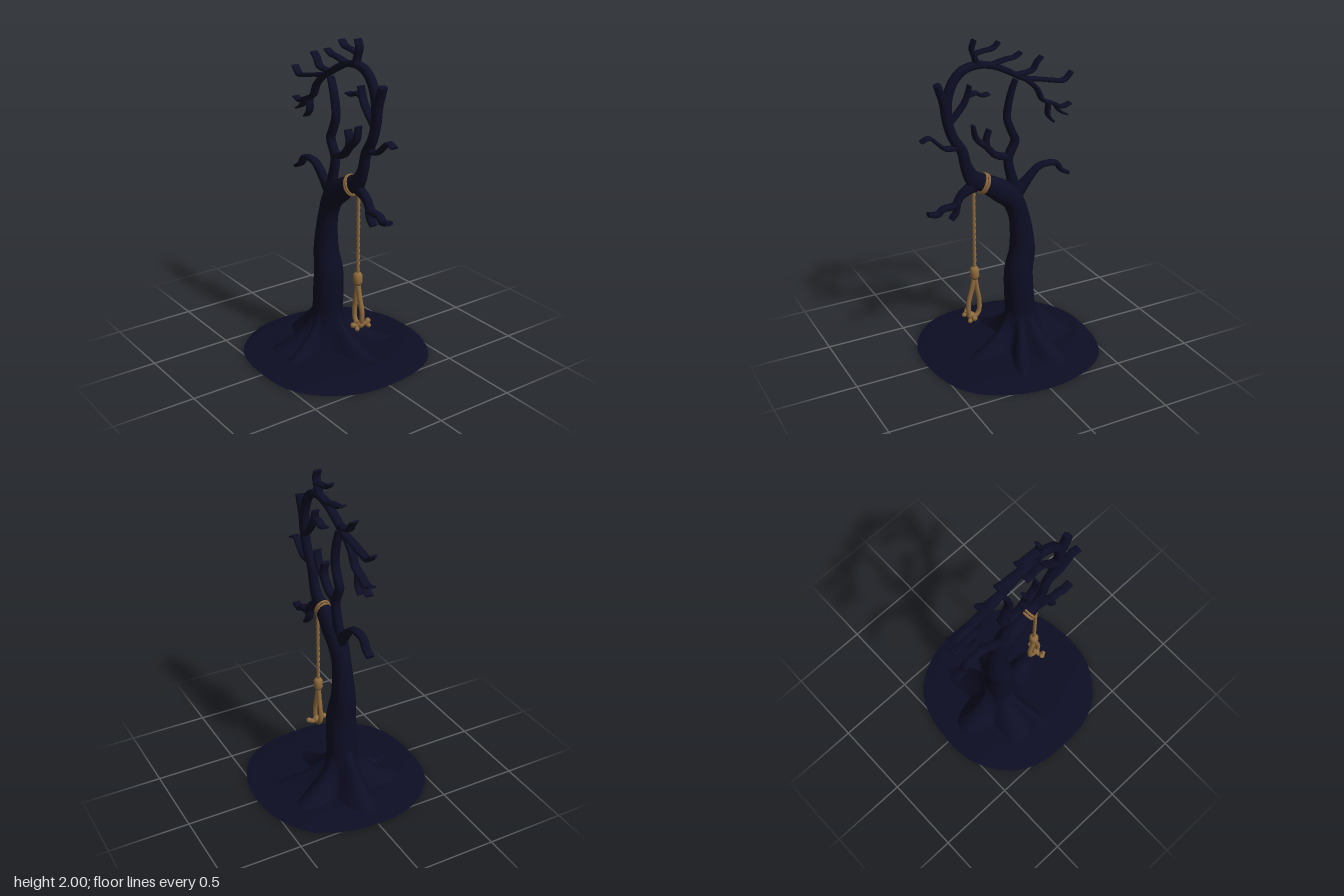
import * as THREE from 'three';
import { toCreasedNormals } from 'three/addons/utils/BufferGeometryUtils.js';

const bark = new THREE.MeshStandardMaterial({ name: 'dark bark', color: 0x0d0d24 });
const rope = new THREE.MeshStandardMaterial({ name: 'tan rope', color: 0x8f6b3d });

// Joins rings of points into a closed, capped skin
function loft(rings) {
  const n = rings[0].length, pos = [], idx = [];
  rings.forEach(r => r.forEach(p => pos.push(...p)));
  for (let i = 0; i < rings.length - 1; i++) {
    for (let j = 0; j < n; j++) {
      const a = i * n + j, b = i * n + (j + 1) % n;
      idx.push(a, b, a + n, b, b + n, a + n);
    }
  }
  const last = (rings.length - 1) * n;
  for (let j = 1; j < n - 1; j++) idx.push(0, j + 1, j, last, last + j, last + j + 1);
  const g = new THREE.BufferGeometry();
  g.setAttribute('position', new THREE.Float32BufferAttribute(pos, 3));
  g.setIndex(idx);
  return toCreasedNormals(g, 1);
}

const sp = (v, e) => Math.sign(v) * Math.abs(v) ** e;

// Limb in the xy plane; each point is [x, y, half width, half depth]
function limb(points, power = 0.65, sides = 12, steps = 4) {
  const curve = new THREE.CatmullRomCurve3(points.map(p => new THREE.Vector3(p[0], p[1], p[2])), false, 'centripetal');
  const total = (points.length - 1) * steps, rings = [];
  for (let i = 0; i <= total; i++) {
    const t = i / total, c = curve.getPoint(t), d = curve.getTangent(t);
    const len = Math.hypot(d.x, d.y);
    const k = Math.min(Math.floor(i / steps), points.length - 2), f = i / steps - k;
    const depth = THREE.MathUtils.lerp(points[k][3] ?? 0.026, points[k + 1][3] ?? 0.026, f);
    const ring = [];
    for (let j = 0; j < sides; j++) {
      const a = (j / sides) * Math.PI * 2;
      const u = sp(Math.cos(a), power) * c.z / len;
      ring.push([c.x - d.y * u, c.y + d.x * u, sp(Math.sin(a), power) * depth]);
    }
    rings.push(ring);
  }
  return loft(rings);
}

// Flared base: [direction, reach, sharpness] for each root
const roots = [[Math.PI, 0.35, 9], [-0.2, 0.39, 22], [1.85, 0.36, 9], [1.3, 0.38, 50], [-1.9, 0.38, 14], [-1.13, 0.42, 45]];
function rootFlare() {
  const rings = [], n = 72, cx = -0.088;
  for (let i = 0; i <= 14; i++) {
    const t = i / 14, ring = [];
    for (let j = 0; j < n; j++) {
      const a = -(j / n) * Math.PI * 2;
      let reach = 0.17, left = 0;
      roots.forEach(([dir, len, sharp], k) => {
        const w = Math.exp(sharp * (Math.cos(a - dir) - 1));
        reach = Math.max(reach, 0.17 + (len - 0.17) * w);
        if (k === 0) left = w;
      });
      const r = 0.092 + (reach - 0.092) * (1 - t) ** (2.3 - 1.1 * left);
      ring.push([cx + Math.cos(a) * r, 0.018 + 0.272 * t, Math.sin(a) * r]);
    }
    rings.push(ring);
  }
  return loft(rings);
}

// Thin mound with a rounded-square outline
function mound() {
  const levels = [[0.97, 0], [1, 0.008], [0.93, 0.014], [0.6, 0.02], [0.05, 0.026]];
  return loft(levels.map(([s, y]) => Array.from({ length: 48 }, (_, j) => {
    const a = -(j / 48) * Math.PI * 2;
    const r = 0.548 * s * (1 + 0.006 * Math.sin(7 * a));
    return [r * sp(Math.cos(a), 0.86), y, r * sp(Math.sin(a), 0.86)];
  })));
}

// Twisted pair of strands along a straight drop
function strand(x, top, bottom, phase) {
  const pts = Array.from({ length: 121 }, (_, i) => {
    const t = i / 120, a = phase + t * Math.PI * 14;
    return new THREE.Vector3(x + Math.cos(a) * 0.005, top + (bottom - top) * t, Math.sin(a) * 0.005);
  });
  return new THREE.TubeGeometry(new THREE.CatmullRomCurve3(pts), 150, 0.0075, 6);
}

const tube = (pts, r, closed = false) => new THREE.TubeGeometry(
  new THREE.CatmullRomCurve3(pts.map(p => new THREE.Vector3(...p)), closed), 48, r, 8, closed);

export function createModel() {
  const model = new THREE.Group();
  model.name = 'bareTree';
  const add = (name, geo, mat, parent = model) => {
    const m = new THREE.Mesh(geo, mat);
    m.name = name;
    parent.add(m);
    return m;
  };

  add('ground', mound(), bark);
  add('roots', rootFlare(), bark);

  // Trunk bending over into the main limb, ending in a cut stub
  add('trunk', limb([
    [-0.088, 0.25, 0.09, 0.092], [-0.078, 0.4, 0.088, 0.095], [-0.077, 0.52, 0.085, 0.09],
    [-0.1, 0.65, 0.079, 0.073], [-0.092, 0.8, 0.068, 0.06], [-0.073, 0.9, 0.062, 0.055],
    [-0.03, 1.0, 0.066, 0.06], [0.04, 1.065, 0.07, 0.062], [0.14, 1.13, 0.058, 0.045],
    [0.22, 1.175, 0.05, 0.032], [0.265, 1.26, 0.035, 0.028], [0.29, 1.36, 0.031, 0.028],
    [0.345, 1.45, 0.03, 0.028], [0.38, 1.56, 0.028, 0.028], [0.395, 1.66, 0.027, 0.028],
    [0.435, 1.77, 0.021, 0.028]], 0.9, 16), bark);

  // Arching crown and side branches
  const branches = {
    crownArch: [[0.375, 1.55, 0.026], [0.375, 1.67, 0.026], [0.34, 1.77, 0.025], [0.28, 1.83, 0.024], [0.2, 1.85, 0.021],
      [0.1, 1.835, 0.019], [0, 1.79, 0.018], [-0.1, 1.735, 0.015], [-0.2, 1.715, 0.012], [-0.29, 1.695, 0.012],
      [-0.37, 1.685, 0.011], [-0.42, 1.73, 0.006]],
    topTwig: [[0.19, 1.84, 0.016], [0.205, 1.9, 0.014], [0.222, 1.945, 0.011], [0.205, 1.995, 0.008]],
    topSideTwig: [[0.21, 1.915, 0.01], [0.155, 1.925, 0.01], [0.09, 1.935, 0.01], [0.055, 1.965, 0.006]],
    crownTwig: [[0.1, 1.84, 0.013], [0.01, 1.86, 0.011], [-0.04, 1.865, 0.01], [-0.085, 1.888, 0.006]],
    outerTwig: [[-0.06, 1.76, 0.013], [-0.16, 1.775, 0.011], [-0.19, 1.82, 0.01], [-0.22, 1.847, 0.007]],
    droopBranch: [[-0.1, 1.74, 0.014], [-0.19, 1.66, 0.014], [-0.225, 1.59, 0.013], [-0.265, 1.56, 0.012],
      [-0.265, 1.49, 0.01], [-0.3, 1.445, 0.007]],
    droopTwig: [[-0.235, 1.58, 0.011], [-0.31, 1.55, 0.011], [-0.36, 1.525, 0.009], [-0.415, 1.54, 0.006]],
    droopLowTwig: [[-0.31, 1.55, 0.01], [-0.345, 1.5, 0.009], [-0.39, 1.475, 0.006]],
    middleStem: [[-0.05, 1.02, 0.05], [-0.03, 1.13, 0.032], [-0.005, 1.26, 0.025], [-0.05, 1.37, 0.024], [-0.03, 1.42, 0.022],
      [0.002, 1.51, 0.02], [-0.008, 1.6, 0.017], [-0.03, 1.68, 0.014], [-0.052, 1.735, 0.008]],
    middleBranch: [[-0.01, 1.27, 0.02], [0.08, 1.3, 0.021], [0.13, 1.355, 0.02], [0.2, 1.42, 0.016], [0.218, 1.5, 0.008]],
    middleTwig: [[0.13, 1.35, 0.018], [0.137, 1.4, 0.016], [0.118, 1.46, 0.012]],
    leftBranch: [[-0.06, 1.03, 0.045], [-0.13, 1.105, 0.027], [-0.2, 1.17, 0.018], [-0.25, 1.185, 0.016],
      [-0.33, 1.175, 0.016], [-0.36, 1.13, 0.015], [-0.41, 1.1, 0.011]],
    rightBranch: [[0.19, 1.14, 0.04], [0.26, 1.115, 0.03], [0.305, 1.085, 0.022], [0.34, 1.035, 0.019],
      [0.42, 1.025, 0.016], [0.45, 1.0, 0.016], [0.51, 1.01, 0.013]],
    rightLowTwig: [[0.325, 1.05, 0.018], [0.335, 0.99, 0.015], [0.368, 0.95, 0.012]],
    sideTwig: [[0.3, 1.39, 0.017], [0.39, 1.39, 0.013], [0.44, 1.43, 0.011], [0.49, 1.472, 0.01], [0.54, 1.455, 0.007]],
    innerTwig: [[0.375, 1.53, 0.017], [0.31, 1.595, 0.014], [0.27, 1.645, 0.013], [0.25, 1.69, 0.011], [0.237, 1.74, 0.007]],
    innerSideTwig: [[0.255, 1.68, 0.011], [0.2, 1.692, 0.011], [0.165, 1.672, 0.01], [0.12, 1.675, 0.007]],
  };
  const crown = new THREE.Group();
  crown.name = 'branches';
  model.add(crown);
  for (const [name, pts] of Object.entries(branches)) add(name, limb(pts), bark, crown);

  // Rope: band on the limb, hanging line, collar, loop and knotted end
  const line = new THREE.Group();
  line.name = 'hangingRope';
  model.add(line);
  for (const off of [-0.008, 0.008]) {
    const band = add('limbBand', new THREE.TorusGeometry(1, 0.14, 6, 32), rope, line);
    band.position.set(0.155 + off, 1.135 + off * 0.5, 0);
    band.scale.set(0.049, 0.058, 0.06);
    band.rotation.set(0, Math.PI / 2, 0);
    band.scale.set(0.045, 0.058, 0.06);
    const tilt = new THREE.Quaternion().setFromAxisAngle(new THREE.Vector3(0, 0, 1), 0.4);
    band.quaternion.premultiply(tilt);
  }
  for (const phase of [0, Math.PI]) add('ropeStrand', strand(0.222, 1.12, 0.58, phase), rope, line);
  const collar = [[0, 0.612], [0.018, 0.608], [0.029, 0.592], [0.027, 0.57], [0.029, 0.55], [0.021, 0.53], [0, 0.525]];
  add('collar', new THREE.LatheGeometry(collar.reverse().map(p => new THREE.Vector2(...p)), 16), rope, line)
    .position.x = 0.222;
  add('loop', tube([[0.222, 0.54, 0], [0.208, 0.46, 0], [0.193, 0.37, 0], [0.198, 0.3, 0], [0.225, 0.272, 0],
    [0.258, 0.29, 0], [0.266, 0.36, 0], [0.242, 0.46, 0]], 0.015, true), rope, line);
  add('endKnot', new THREE.SphereGeometry(0.026, 12, 8), rope, line).position.set(0.25, 0.282, 0);
  for (const s of [-1, 1]) {
    add('looseEnd', tube([[0.245, 0.28, 0], [0.25, 0.277, s * 0.03], [0.262, 0.288, s * 0.055]], 0.015), rope, line);
    const tip = add('frayedTip', new THREE.IcosahedronGeometry(0.018, 1), rope, line);
    tip.position.set(0.252, 0.29, s * 0.054);
    const tail = add('frayedTail', new THREE.IcosahedronGeometry(0.015, 1), rope, line);
    tail.position.set(0.276, 0.272, s * 0.042);
  }
  return model;
}
